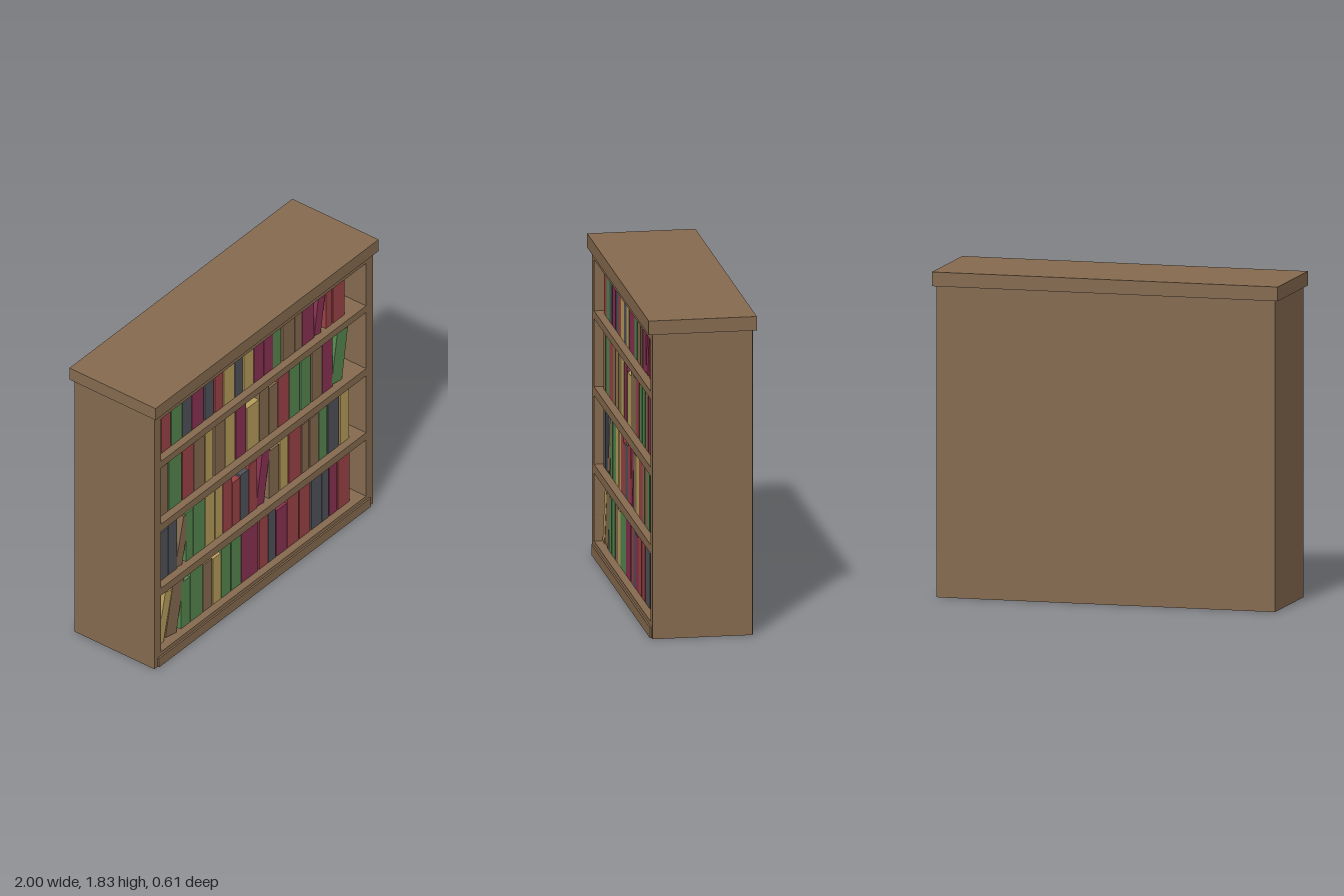
import * as THREE from 'three';

const mat = (name, color) => {
  const m = new THREE.MeshStandardMaterial({ color });
  m.name = name;
  return m;
};

export function createModel() {
  const model = new THREE.Group();
  model.name = 'bookcase';

  const wood = mat('wood brown', 0x84694e);
  const colours = {
    brown: wood,
    red: mat('book red', 0x9a4245),
    green: mat('book green', 0x55864f),
    grey: mat('book grey', 0x505259),
    plum: mat('book plum', 0x873150),
    gold: mat('book gold', 0xb59c5b),
  };

  // Box given by its minimum and maximum corners
  const slab = (name, x0, x1, y0, y1, z0, z1) => {
    const mesh = new THREE.Mesh(new THREE.BoxGeometry(x1 - x0, y1 - y0, z1 - z0), wood);
    mesh.position.set((x0 + x1) / 2, (y0 + y1) / 2, (z0 + z1) / 2);
    mesh.name = name;
    model.add(mesh);
  };

  // Carcass
  slab('leftSide', 0.92, 0.98, 0, 1.75, -0.285, 0.28);
  slab('rightSide', -0.98, -0.92, 0, 1.75, -0.285, 0.28);
  slab('backPanel', -0.96, 0.96, 0, 1.75, -0.29, -0.27);
  slab('topBoard', -1, 1, 1.75, 1.83, -0.305, 0.305);
  slab('plinth', -0.95, 0.95, 0, 0.06, 0.27, 0.29);

  // Shelves, flush with the sides
  const shelves = [[0, 0.085], [0.475, 0.525], [0.92, 0.97], [1.36, 1.405], [1.7, 1.745]];
  shelves.forEach(([y0, y1]) => slab('shelf', -0.92, 0.92, y0, y1, -0.27, 0.28));

  // A row of books: [colour, left edge, width, height, lean to the right]
  const depth = 0.43, front = 0.235;
  const fillShelf = (name, y, books) => {
    const row = new THREE.Group();
    row.name = name;
    row.position.y = y;
    for (const [colour, x, w, h, lean = 0] of books) {
      const geo = new THREE.BoxGeometry(w, h, depth);
      geo.translate(-w / 2, h / 2, front - depth / 2); // pivot on the lower right edge
      const book = new THREE.Mesh(geo, colours[colour]);
      book.name = 'book';
      book.position.x = x + w;
      book.rotation.z = -lean;
      row.add(book);
    }
    model.add(row);
  };

  fillShelf('bottomRowBooks', 0.085, [
    ['gold', -0.9, 0.06, 0.33, 0.23], ['brown', -0.825, 0.1, 0.355, 0.2],
    ['green', -0.685, 0.08, 0.315], ['green', -0.6, 0.11, 0.365],
    ['brown', -0.485, 0.08, 0.325], ['gold', -0.395, 0.07, 0.315],
    ['green', -0.32, 0.08, 0.365], ['green', -0.23, 0.085, 0.365],
    ['plum', -0.14, 0.085, 0.36], ['plum', -0.055, 0.06, 0.38],
    ['red', 0.02, 0.075, 0.375], ['grey', 0.1, 0.065, 0.375],
    ['plum', 0.175, 0.09, 0.315], ['red', 0.27, 0.1, 0.35],
    ['red', 0.38, 0.095, 0.35], ['grey', 0.485, 0.09, 0.36],
    ['grey', 0.58, 0.06, 0.37], ['plum', 0.65, 0.065, 0.35],
    ['red', 0.725, 0.105, 0.34],
  ]);

  fillShelf('lowerMiddleRowBooks', 0.525, [
    ['grey', -0.865, 0.065, 0.33], ['grey', -0.795, 0.075, 0.345],
    ['brown', -0.735, 0.06, 0.32, 0.23], ['green', -0.64, 0.065, 0.33],
    ['green', -0.57, 0.1, 0.395], ['gold', -0.465, 0.08, 0.375],
    ['gold', -0.375, 0.065, 0.34], ['red', -0.305, 0.08, 0.395],
    ['red', -0.22, 0.065, 0.3], ['grey', -0.15, 0.07, 0.31],
    ['red', -0.075, 0.075, 0.335], ['plum', -0.01, 0.07, 0.41, 0.16],
    ['brown', 0.105, 0.09, 0.325], ['gold', 0.205, 0.07, 0.395],
    ['red', 0.285, 0.11, 0.355], ['brown', 0.4, 0.065, 0.335],
    ['brown', 0.475, 0.075, 0.335], ['green', 0.555, 0.07, 0.375],
    ['grey', 0.635, 0.1, 0.395], ['gold', 0.745, 0.08, 0.395],
  ]);

  fillShelf('upperMiddleRowBooks', 0.97, [
    ['brown', -0.865, 0.065, 0.335], ['green', -0.79, 0.11, 0.345],
    ['red', -0.67, 0.1, 0.36], ['brown', -0.565, 0.09, 0.335],
    ['gold', -0.465, 0.07, 0.37], ['brown', -0.38, 0.09, 0.39],
    ['gold', -0.285, 0.085, 0.355], ['plum', -0.19, 0.09, 0.39],
    ['gold', -0.09, 0.105, 0.295], ['brown', 0.02, 0.08, 0.39],
    ['brown', 0.105, 0.075, 0.32], ['red', 0.185, 0.1, 0.35],
    ['green', 0.29, 0.09, 0.34], ['green', 0.395, 0.085, 0.345],
    ['brown', 0.49, 0.09, 0.375], ['plum', 0.585, 0.09, 0.37],
    ['green', 0.665, 0.095, 0.335, 0.16],
  ]);

  // The tallest of these reach up behind the top shelf
  fillShelf('topRowBooks', 1.405, [
    ['red', -0.86, 0.08, 0.31], ['green', -0.77, 0.095, 0.35],
    ['grey', -0.67, 0.08, 0.31], ['plum', -0.585, 0.105, 0.35],
    ['grey', -0.47, 0.08, 0.31], ['red', -0.38, 0.075, 0.31],
    ['gold', -0.3, 0.095, 0.31], ['grey', -0.2, 0.07, 0.31],
    ['gold', -0.12, 0.085, 0.31], ['plum', -0.03, 0.085, 0.35],
    ['plum', 0.06, 0.08, 0.31], ['green', 0.14, 0.075, 0.31],
    ['brown', 0.23, 0.105, 0.31], ['brown', 0.34, 0.06, 0.31],
    ['plum', 0.405, 0.105, 0.35], ['plum', 0.51, 0.06, 0.355, 0.16],
    ['red', 0.615, 0.055, 0.31], ['red', 0.68, 0.105, 0.31],
  ]);

  return model;
}
